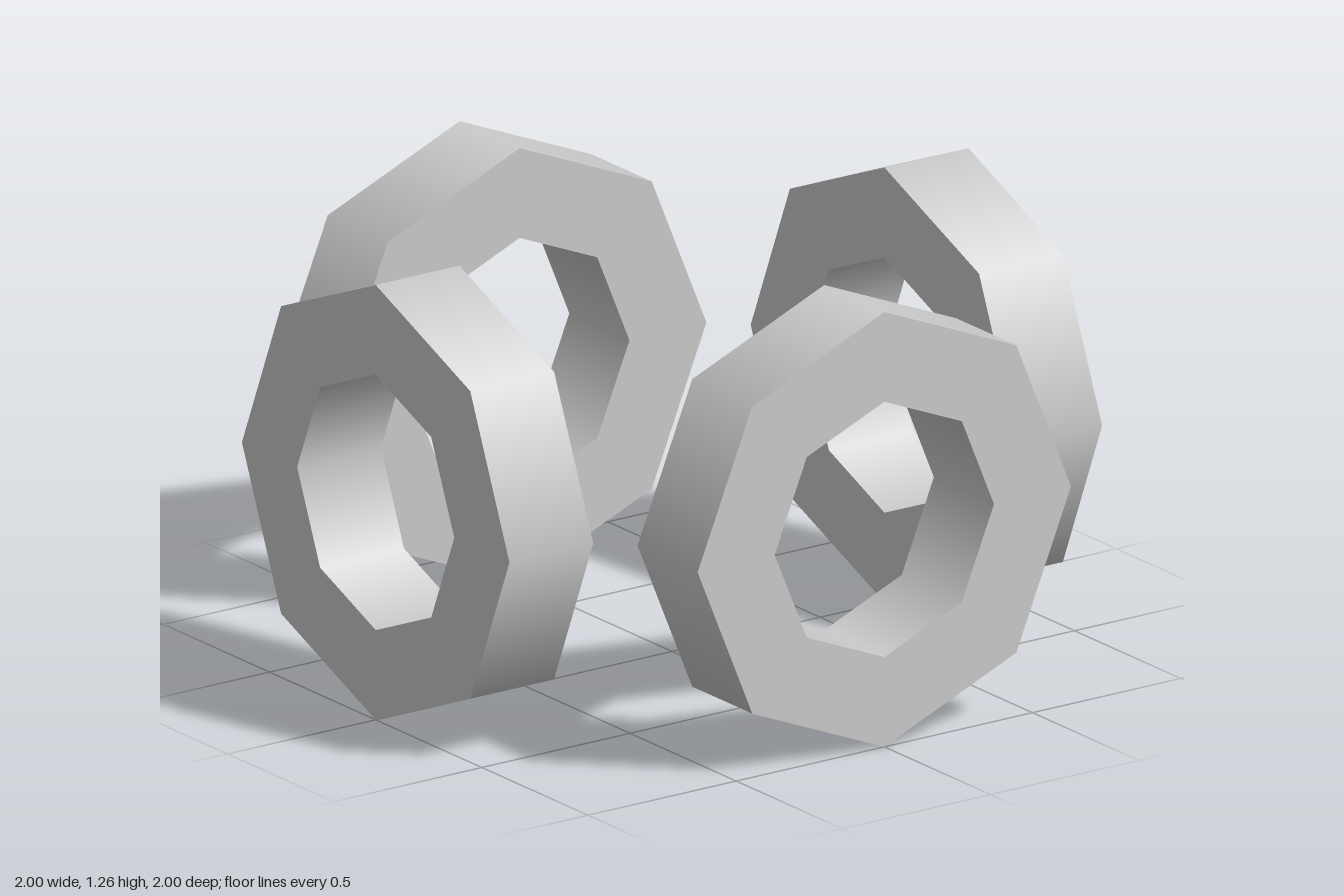
import * as THREE from 'three';
import { mergeGeometries } from 'three/addons/utils/BufferGeometryUtils.js';

const OUTER = 0.63, INNER = 0.37, HALF = 0.1415, SIDES = 8;

// Octagonal ring around y: each wall is its own lathe, so rims stay sharp and walls stay smooth
function ringGeometry() {
  const profile = [[OUTER, -HALF], [OUTER, HALF], [INNER, HALF], [INNER, -HALF]]
    .map(([x, y]) => new THREE.Vector2(x, y));
  const walls = profile.map((p, i) =>
    new THREE.LatheGeometry([p, profile[(i + 1) % profile.length]], SIDES));
  return mergeGeometries(walls).rotateX(Math.PI / 2); // axis along z
}

export function createModel() {
  const model = new THREE.Group();
  const grey = new THREE.MeshStandardMaterial({ color: 0xcccccc });
  grey.name = 'light grey';
  const geometry = ringGeometry();

  // Four upright rings, one facing each side
  ['frontRing', 'leftRing', 'backRing', 'rightRing'].forEach((name, i) => {
    const angle = i * Math.PI / 2;
    const ring = new THREE.Mesh(geometry, grey);
    ring.name = name;
    ring.rotation.y = angle;
    ring.position.set(Math.sin(angle), 0, Math.cos(angle)).multiplyScalar(1 - HALF);
    ring.position.y = OUTER;
    model.add(ring);
  });
  return model;
}
